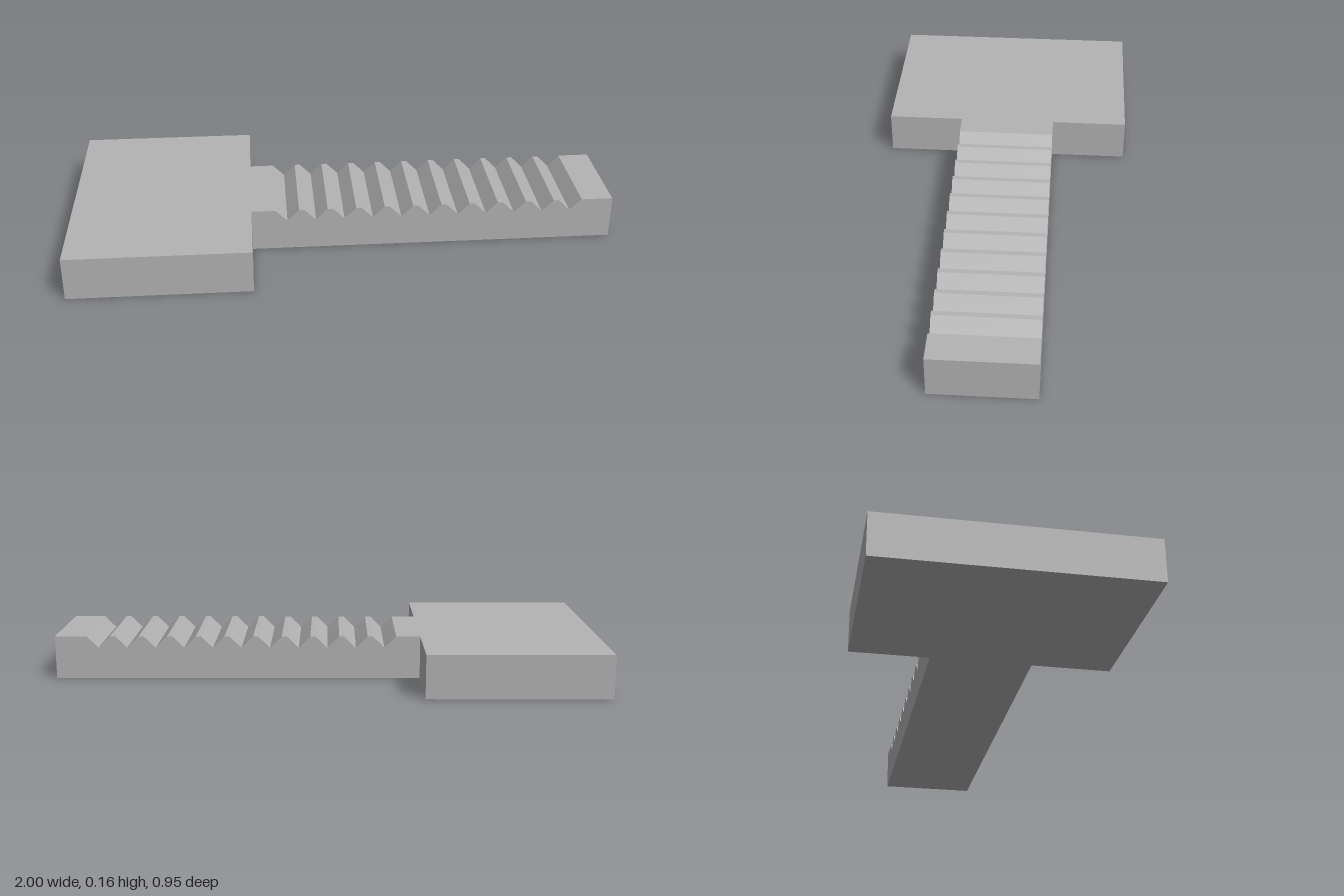
import * as THREE from 'three';

const HEIGHT = 0.158;
const SHOULDER_X = -0.345;

// Side profile of the bar with a row of V notches cut into its top
function rackProfile() {
  const count = 11, firstX = -0.214, pitch = 0.1055, half = 0.043, depth = 0.043;
  const shape = new THREE.Shape();
  shape.moveTo(SHOULDER_X, 0);
  shape.lineTo(1, 0);
  shape.lineTo(1, HEIGHT);
  for (let i = count - 1; i >= 0; i--) {
    const x = firstX + i * pitch;
    shape.lineTo(x + half, HEIGHT);
    shape.lineTo(x, HEIGHT - depth);
    shape.lineTo(x - half, HEIGHT);
  }
  shape.lineTo(SHOULDER_X, HEIGHT);
  shape.closePath();
  return shape;
}

export function createModel() {
  const group = new THREE.Group();
  group.name = 'toothedRack';

  const grey = new THREE.MeshStandardMaterial({ color: 0xb3b3b3 });
  grey.name = 'plain grey';

  // Wide flat head
  const headLength = SHOULDER_X + 1;
  const head = new THREE.Mesh(new THREE.BoxGeometry(headLength, HEIGHT, 0.946), grey);
  head.name = 'headPlate';
  head.position.set(-1 + headLength / 2, HEIGHT / 2, 0);
  group.add(head);

  // Narrow toothed bar
  const barWidth = 0.368;
  const barGeometry = new THREE.ExtrudeGeometry(rackProfile(), { depth: barWidth, bevelEnabled: false });
  barGeometry.translate(0, 0, -barWidth / 2);
  const bar = new THREE.Mesh(barGeometry, grey);
  bar.name = 'toothedBar';
  group.add(bar);

  return group;
}
